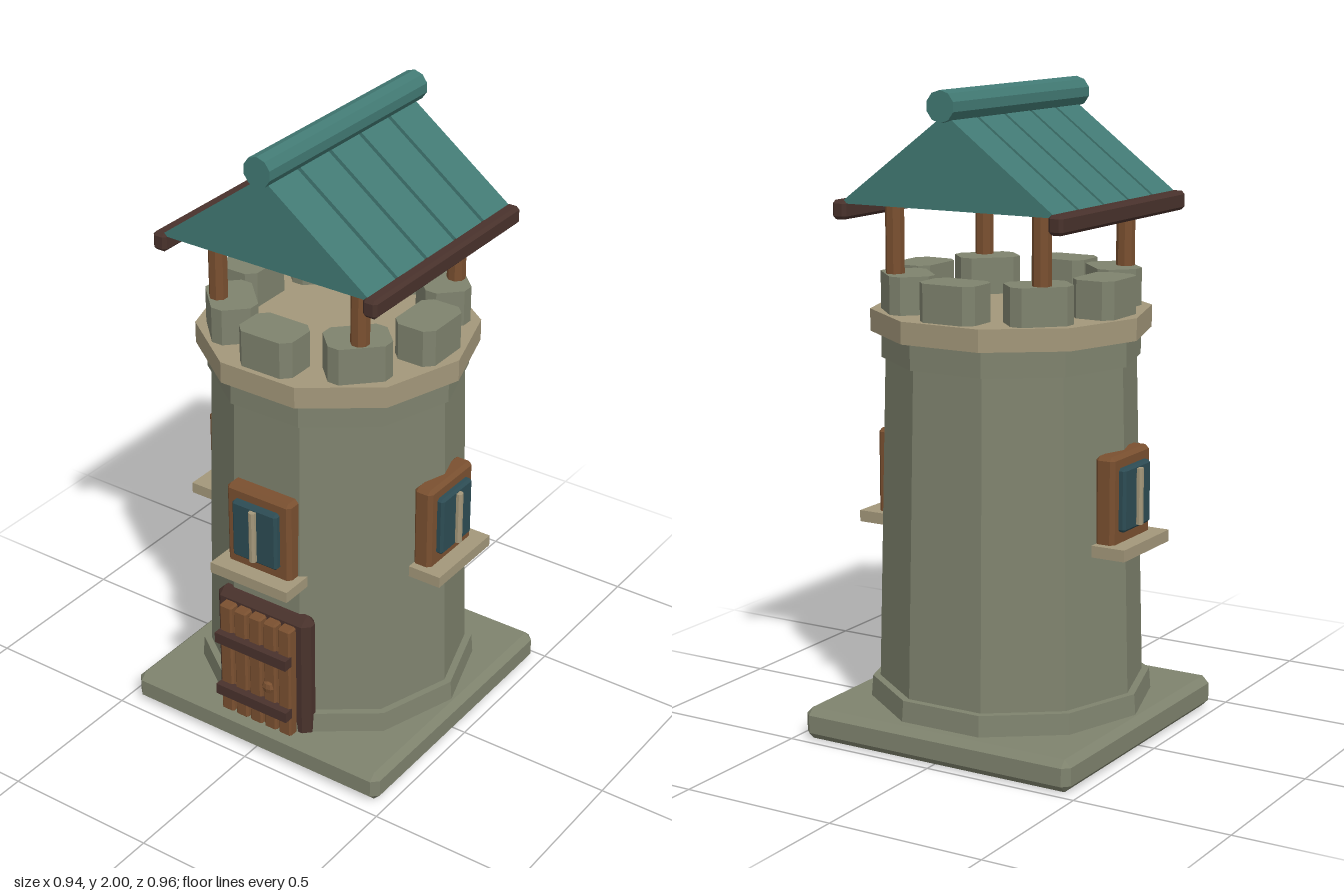
import * as THREE from 'three';
import { ConvexGeometry } from 'three/addons/geometries/ConvexGeometry.js';

const Z0 = -0.011; // tower axis
const SIDES = 10;

const mat = (name, color) => {
  const m = new THREE.MeshStandardMaterial({ color });
  m.name = name;
  return m;
};

const flat = (g) => {
  const f = g.index ? g.toNonIndexed() : g;
  f.computeVertexNormals();
  return f;
};

// Box with all edges cut by c
function chamferBox(w, h, d, c) {
  const pts = [];
  const [x, y, z] = [w / 2, h / 2, d / 2];
  for (const sx of [-1, 1]) for (const sy of [-1, 1]) for (const sz of [-1, 1]) {
    pts.push(
      new THREE.Vector3(sx * x, sy * (y - c), sz * (z - c)),
      new THREE.Vector3(sx * (x - c), sy * y, sz * (z - c)),
      new THREE.Vector3(sx * (x - c), sy * (y - c), sz * z));
  }
  return new ConvexGeometry(pts);
}

// Upright faceted drum with a flat side to the front
function drum(rTop, rBottom, y0, y1, sides = SIDES) {
  const g = new THREE.CylinderGeometry(rTop, rBottom, y1 - y0, sides);
  g.rotateY(Math.PI / sides);
  g.translate(0, (y0 + y1) / 2, 0);
  return flat(g);
}

// Triangular roof section running along z
function gable(halfWidth, eave, apex, length) {
  const s = new THREE.Shape();
  s.moveTo(-halfWidth, eave);
  s.lineTo(halfWidth, eave);
  s.lineTo(0, apex);
  s.closePath();
  const g = new THREE.ExtrudeGeometry(s, { depth: length, bevelEnabled: false });
  g.translate(0, 0, -length / 2);
  return g;
}

export function createModel() {
  const stone = mat('stone', 0x7f836e);
  const sand = mat('sandstone', 0xa3977a);
  const wood = mat('wood', 0x7a5030);
  const dark = mat('darkWood', 0x49322c);
  const teal = mat('roofTeal', 0x427a74);
  const glass = mat('glass', 0x2d4c54);

  const model = new THREE.Group();
  model.name = 'watchtower';
  const tower = new THREE.Group();
  tower.name = 'tower';
  tower.position.z = Z0;
  model.add(tower);

  const add = (parent, name, geo, material, x = 0, y = 0, z = 0) => {
    const m = new THREE.Mesh(geo, material);
    m.name = name;
    m.position.set(x, y, z);
    parent.add(m);
    return m;
  };

  // Base and walls
  add(tower, 'baseSlab', chamferBox(0.937, 0.1, 0.937, 0.022), stone, 0, 0.05, 0);
  add(tower, 'plinth', drum(0.435, 0.44, 0.1, 0.165), stone);
  add(tower, 'wall', drum(0.385, 0.412, 0.16, 1.18), stone);
  add(tower, 'collar', drum(0.397, 0.397, 1.175, 1.26), stone);
  add(tower, 'deck', drum(0.43, 0.43, 1.257, 1.325), sand);

  // Battlements: eight blocks with cut upright corners
  const [bw, bd, bc] = [0.095, 0.07, 0.027];
  const block = new THREE.Shape([
    [bw - bc, -bd], [bw, bc - bd], [bw, bd - bc], [bw - bc, bd],
    [bc - bw, bd], [-bw, bd - bc], [-bw, bc - bd], [bc - bw, -bd],
  ].map(([x, y]) => new THREE.Vector2(x, y)));
  const merlonGeo = new THREE.ExtrudeGeometry(block, { depth: 0.12, bevelEnabled: false });
  merlonGeo.rotateX(-Math.PI / 2);
  for (let i = 0; i < 8; i++) {
    const a = i * Math.PI / 4;
    add(tower, 'merlon', merlonGeo, stone, Math.sin(a) * 0.321, 1.32, Math.cos(a) * 0.321).rotation.y = a;
  }

  // Roof posts
  for (const x of [-0.254, 0.254]) for (const z of [-0.254, 0.254]) {
    add(tower, 'post', drum(0.029, 0.029, 1.32, 1.66, 8), wood, x, 0, z);
  }

  // Roof: inner core, five panels, eave boards and ridge
  const roof = new THREE.Group();
  roof.name = 'roof';
  tower.add(roof);
  add(roof, 'roofCore', gable(0.348, 1.656, 1.91, 0.738), teal);
  for (let i = -2; i <= 2; i++) {
    add(roof, 'roofPanel', gable(0.37, 1.654, 1.93, 0.137), teal, 0, 0, i * 0.151);
  }
  for (const x of [-0.369, 0.369]) {
    add(roof, 'eaveBoard', chamferBox(0.048, 0.058, 0.767, 0.01), dark, x, 1.635, 0);
  }
  const ridge = new THREE.CylinderGeometry(0.047, 0.047, 0.788, 10);
  ridge.rotateX(Math.PI / 2);
  add(roof, 'ridge', flat(ridge), teal, 0, 1.953, -0.002);

  // Windows on the front and both sides
  for (const a of [0, Math.PI / 2, -Math.PI / 2]) {
    const w = new THREE.Group();
    w.name = 'window';
    w.rotation.y = a;
    tower.add(w);
    add(w, 'windowFrame', chamferBox(0.236, 0.28, 0.064, 0.012), wood, 0, 0.783, 0.388);
    add(w, 'windowPane', chamferBox(0.165, 0.195, 0.06, 0.008), glass, 0, 0.788, 0.411);
    add(w, 'mullion', drum(0.012, 0.012, 0.702, 0.875, 8), sand, 0, 0, 0.446);
    add(w, 'sill', new THREE.BoxGeometry(0.286, 0.036, 0.11), sand, 0, 0.638, 0.417);
  }

  // Door
  const door = new THREE.Group();
  door.name = 'door';
  model.add(door);
  add(door, 'doorFrame', chamferBox(0.352, 0.46, 0.064, 0.022), dark, 0, 0.292, 0.373);
  for (let i = -2; i <= 2; i++) {
    add(door, 'plank', chamferBox(0.047, 0.4, 0.05, 0.006), wood, i * 0.0555, 0.294, 0.413);
  }
  for (const y of [0.185, 0.381]) {
    add(door, 'strap', new THREE.BoxGeometry(0.27, 0.036, 0.032), dark, 0, y, 0.446);
  }
  const knob = flat(new THREE.SphereGeometry(0.022, 8, 4));
  knob.scale(1, 1, 0.55);
  add(door, 'knob', flat(knob), wood, 0.075, 0.285, 0.471);

  return model;
}
